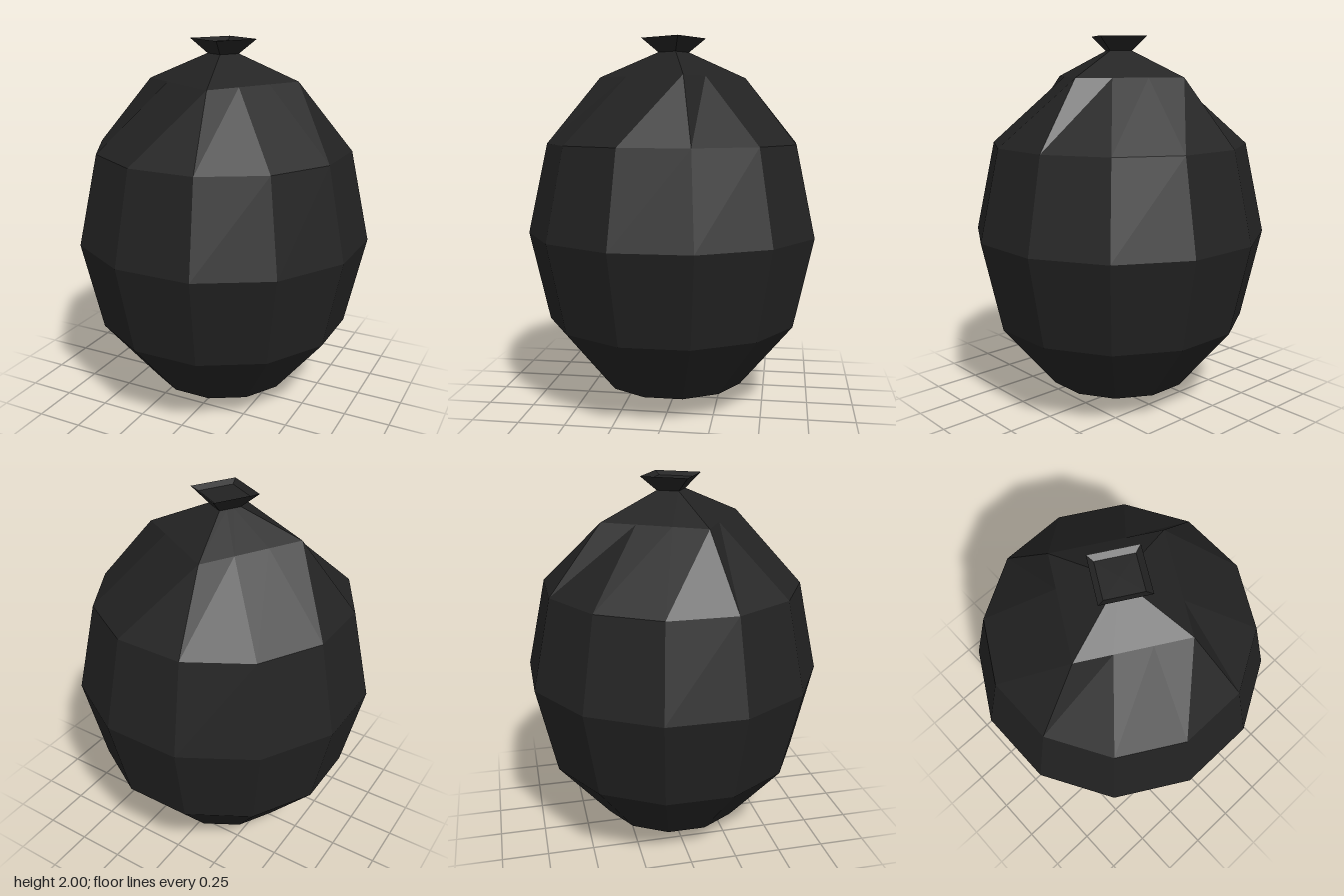
import * as THREE from 'three';

const SIDES = 12;
const START = Math.PI / 12;

// One horizontal ring of 12 points: round, or square with each side cut in thirds
function ring({ r, y, square }) {
  const at = (i) => {
    const a = START + (i * Math.PI * 2) / SIDES;
    return new THREE.Vector3(r * Math.sin(a), y, r * Math.cos(a));
  };
  return Array.from({ length: SIDES }, (_, i) => {
    if (!square) return at(i);
    const corner = i - (i % 3);
    return at(corner).lerp(at(corner + 3), (i % 3) / 3);
  });
}

// Faceted skin through a stack of rings; a radius of 0 closes the end
function skin(name, profile, material) {
  const rings = profile.map(ring);
  const points = [];
  for (let k = 0; k + 1 < rings.length; k++) {
    for (let i = 0; i < SIDES; i++) {
      const j = (i + 1) % SIDES;
      const a = rings[k][i], b = rings[k][j];
      const c = rings[k + 1][j], d = rings[k + 1][i];
      if (profile[k].r > 0) points.push(a, b, c);
      if (profile[k + 1].r > 0) points.push(a, c, d);
    }
  }
  const geometry = new THREE.BufferGeometry().setFromPoints(points);
  geometry.computeVertexNormals();
  const mesh = new THREE.Mesh(geometry, material);
  mesh.name = name;
  return mesh;
}

export function createModel() {
  const group = new THREE.Group();
  group.name = 'tiedSack';
  const black = new THREE.MeshStandardMaterial({ color: 0x222222 });
  black.name = 'blackPlastic';

  // Round sack, drawn in to a square shoulder
  const shoulder = { r: 0.395, y: 1.79, square: true };
  const pinch = { r: 0.083, y: 1.925, square: true };
  const body = [];
  for (let k = 0; k < 5; k++) {
    const lat = ((k - 3) * Math.PI) / 6;
    body.push({ r: k === 0 ? 0 : 0.79 * Math.cos(lat), y: 0.96 + 0.96 * Math.sin(lat) });
  }
  group.add(skin('body', [...body, shoulder], black));

  // Gathered neck
  group.add(skin('neck', [shoulder, pinch], black));

  // Flared mouth with a shallow sunken top
  group.add(skin('mouth', [
    pinch,
    { r: 0.175, y: 2, square: true },
    { r: 0.135, y: 1.98, square: true },
    { r: 0, y: 1.98, square: true },
  ], black));
  return group;
}
